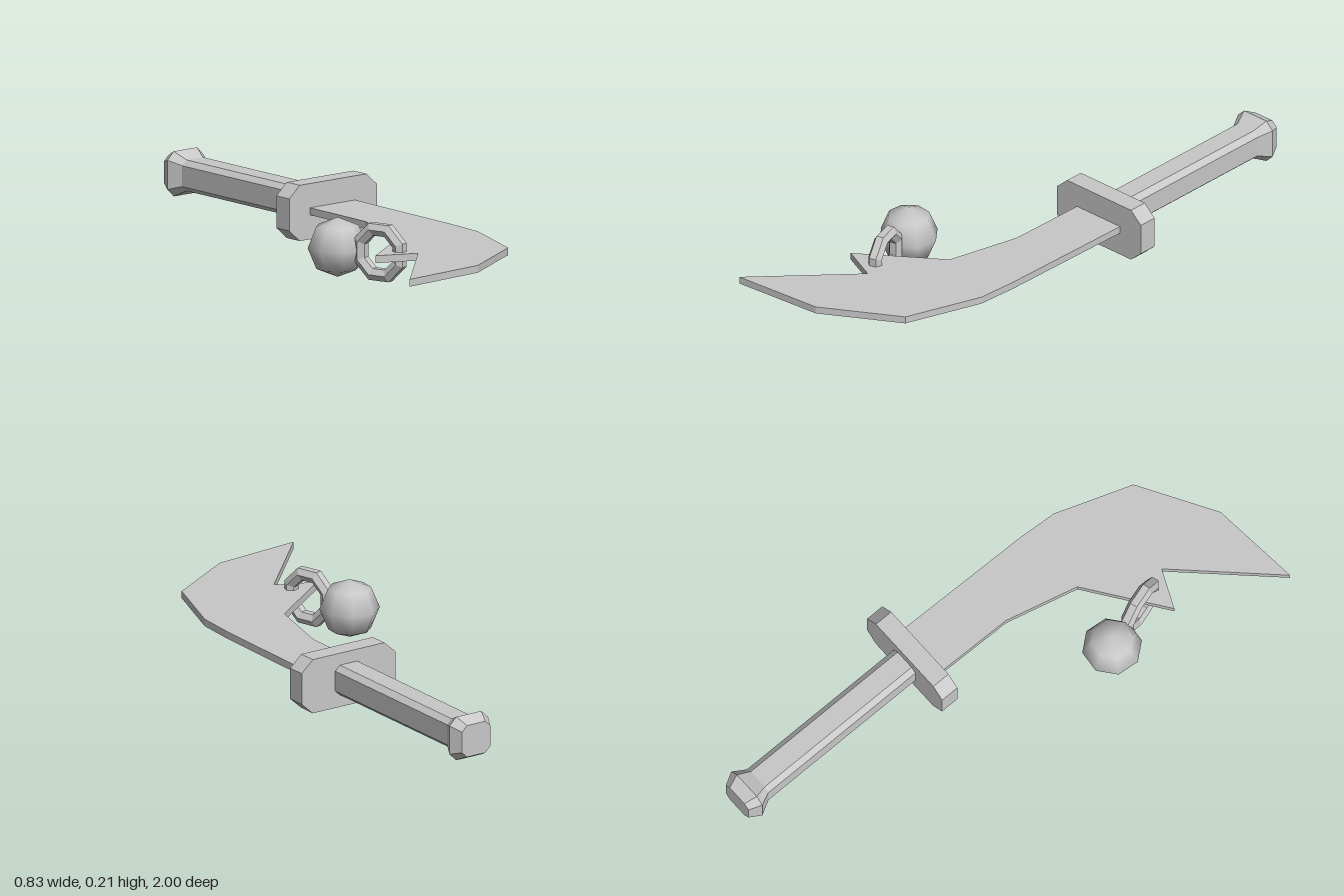
import * as THREE from 'three';

const steel = new THREE.MeshStandardMaterial({ color: 0xc8c8c8 });
steel.name = 'pale grey';

function add(parent, name, geometry) {
  const mesh = new THREE.Mesh(geometry, steel);
  mesh.name = name;
  parent.add(mesh);
  return mesh;
}

// Split the faces so every facet is flat
function faceted(geometry) {
  const flat = geometry.index ? geometry.toNonIndexed() : geometry;
  flat.computeVertexNormals();
  return flat;
}

// Loft of rectangles with cut corners; sections run towards +z: [z, halfWidth, halfHeight, cutX, cutY]
function cutCornerLoft(sections) {
  const pos = [], index = [], n = 8;
  for (const [z, w, h, cx, cy] of sections) {
    const ring = [[w, cy - h], [w, h - cy], [w - cx, h], [cx - w, h],
      [-w, h - cy], [-w, cy - h], [cx - w, -h], [w - cx, -h]];
    for (const [x, y] of ring) pos.push(x, y, z);
  }
  for (let s = 0; s < sections.length - 1; s++) {
    for (let i = 0; i < n; i++) {
      const a = s * n + i, b = s * n + (i + 1) % n;
      index.push(a, b, b + n, a, b + n, a + n);
    }
  }
  const last = (sections.length - 1) * n;
  for (let i = 1; i < n - 1; i++) {
    index.push(0, i + 1, i, last, last + i, last + i + 1);
  }
  const g = new THREE.BufferGeometry();
  g.setAttribute('position', new THREE.Float32BufferAttribute(pos, 3));
  g.setIndex(index);
  return faceted(g);
}

export function createModel() {
  const sword = new THREE.Group();
  sword.name = 'curvedSword';

  // Flat curved blade with a barbed back edge, outline in x and z
  const outline = [[0.11, -0.18], [0.315, -0.18], [0.305, 0.38], [0.295, 0.525],
    [0.195, 0.805], [-0.08, 0.967], [-0.415, 0.997], [-0.105, 0.675],
    [-0.245, 0.612], [0.037, 0.41], [0.105, 0.14]];
  const shape = new THREE.Shape(outline.map(([x, z]) => new THREE.Vector2(x, z)));
  const blade = new THREE.ExtrudeGeometry(shape, { depth: 0.026, bevelEnabled: false });
  blade.rotateX(Math.PI / 2);
  add(sword, 'blade', blade).position.y = 0.121;

  // Guard, grip and pommel share one axis
  const hilt = new THREE.Group();
  hilt.name = 'hilt';
  hilt.position.set(0.2145, 0.108, 0);
  sword.add(hilt);
  add(hilt, 'guard', cutCornerLoft([
    [-0.23, 0.199, 0.099, 0.047, 0.042], [-0.16, 0.199, 0.099, 0.047, 0.042]]));
  add(hilt, 'grip', cutCornerLoft([
    [-0.91, 0.057, 0.055, 0.02, 0.018], [-0.22, 0.057, 0.055, 0.02, 0.018]]));
  add(hilt, 'pommel', cutCornerLoft([
    [-1.0, 0.06, 0.058, 0.021, 0.02], [-0.955, 0.082, 0.08, 0.029, 0.028],
    [-0.905, 0.057, 0.055, 0.02, 0.018]]));

  // Octagonal ring with a six-sided section, hooked through the blade
  const section = [];
  for (let i = 0; i <= 6; i++) {
    const a = (i - 0.5) * Math.PI / 3;
    section.push(new THREE.Vector2(0.086 + 0.026 * Math.cos(a), 0.026 * Math.sin(a)));
  }
  const ringShape = new THREE.LatheGeometry(section, 8, Math.PI / 8);
  ringShape.rotateZ(Math.PI / 2);
  const ring = add(sword, 'ring', faceted(ringShape));
  ring.position.set(-0.155, 0.109, 0.532);
  ring.rotation.y = 0.29;

  // Ball hanging from the ring
  const ball = add(sword, 'ball', new THREE.SphereGeometry(0.106, 8, 4));
  ball.position.set(-0.205, 0.107, 0.36);
  ball.rotation.y = 0.29;

  return sword;
}
